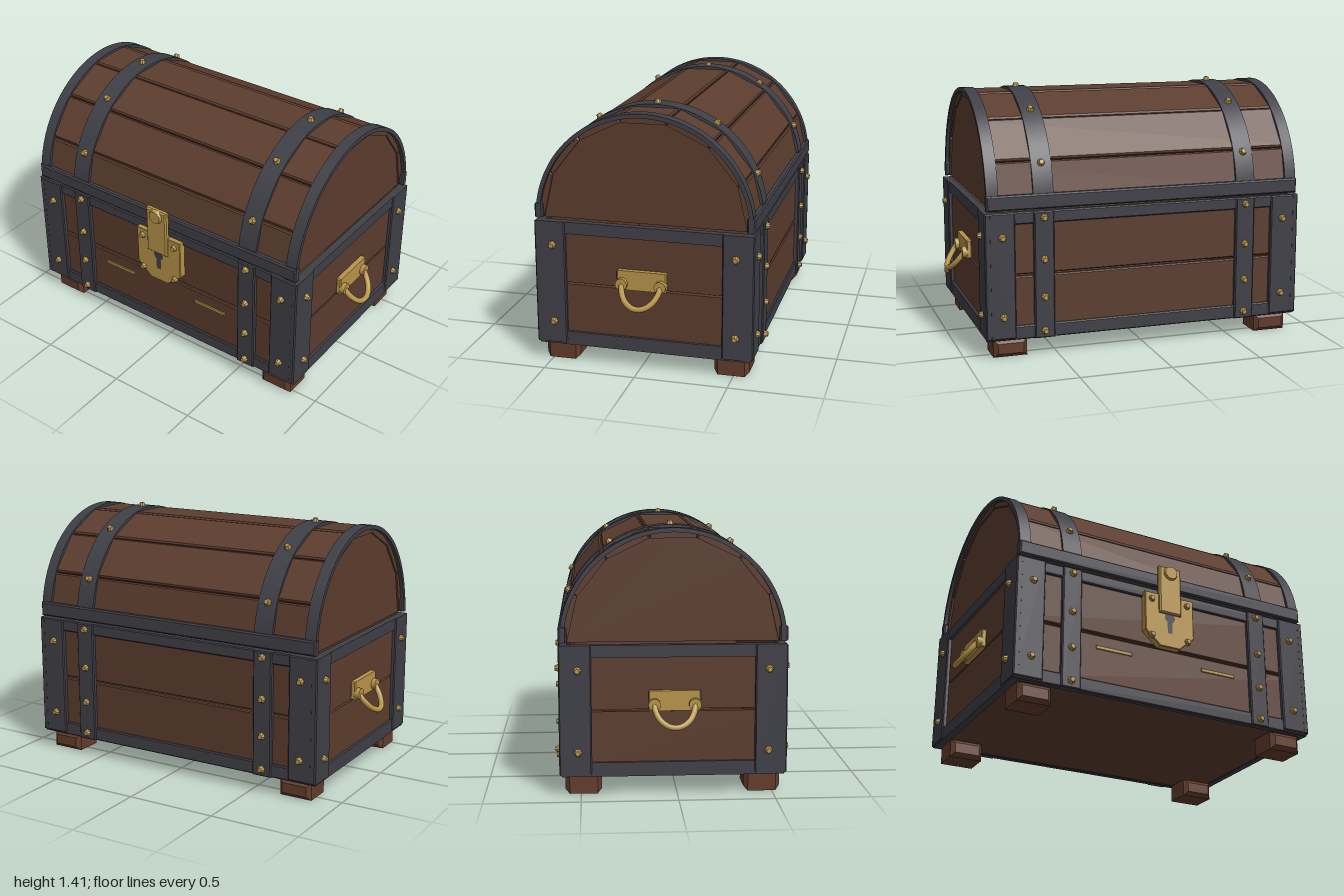
import * as THREE from 'three';
import { toCreasedNormals } from 'three/addons/utils/BufferGeometryUtils.js';

const mat = (name, color) => new THREE.MeshStandardMaterial({ name, color });

export function createModel() {
  const wood = mat('wood', 0x5c3d2e);
  const footWood = mat('footWood', 0x633c2b);
  const iron = mat('iron', 0x3f3f47);
  const brass = mat('brass', 0xb8954a);

  const model = new THREE.Group();
  model.name = 'treasureChest';
  const chest = new THREE.Group();
  chest.name = 'chest';
  chest.position.z = -0.02;
  model.add(chest);

  const add = (name, geo, material, x = 0, y = 0, z = 0) => {
    const mesh = new THREE.Mesh(geo, material);
    mesh.name = name;
    mesh.position.set(x, y, z);
    chest.add(mesh);
    return mesh;
  };

  // Flat plate cut from a shape, its back at z = 0 and its front at z = depth
  const plate = (shape, depth, b = 0.004) => {
    const geo = new THREE.ExtrudeGeometry(shape, {
      depth: depth - 2 * b, bevelEnabled: b > 0, bevelThickness: b, bevelSize: b,
      bevelOffset: -b, bevelSegments: 1, curveSegments: 16,
    });
    return geo.translate(0, 0, b);
  };
  const polygon = (pts) => new THREE.Shape(pts.map(([x, y]) => new THREE.Vector2(x, y)));
  // Centred box with chamfered edges
  const bar = (w, h, d, b = 0.006) => plate(polygon([
    [-w / 2, -h / 2], [w / 2, -h / 2], [w / 2, h / 2], [-w / 2, h / 2],
  ]), d, b).translate(0, 0, -d / 2);
  // Box given by its limits
  const span = (name, material, x0, x1, y0, y1, z0, z1, b) => add(name,
    bar(x1 - x0, y1 - y0, z1 - z0, b), material, (x0 + x1) / 2, (y0 + y1) / 2, (z0 + z1) / 2);

  const nailGeo = new THREE.CylinderGeometry(0.013, 0.022, 0.022, 8).translate(0, 0.009, 0).toNonIndexed();
  nailGeo.computeVertexNormals();
  const up = new THREE.Vector3(0, 1, 0);
  const nail = (x, y, z, nx, ny, nz) => add('nail', nailGeo, brass, x, y, z)
    .quaternion.setFromUnitVectors(up, new THREE.Vector3(nx, ny, nz));

  const signs = [-1, 1];

  // Floor
  span('floor', wood, -0.87, 0.87, 0.105, 0.14, -0.565, 0.565);

  // Two boards on each wall, with a slit between them
  for (const [y0, y1] of [[0.12, 0.441], [0.452, 0.77]]) {
    for (const s of signs) {
      add('wallBoard', bar(1.73, y1 - y0, 0.035), wood, 0, (y0 + y1) / 2, s * 0.55);
      add('endBoard', bar(0.035, y1 - y0, 1.12), wood, s * 0.855, (y0 + y1) / 2, 0);
    }
  }

  // Iron rails round the bottom and the top of the body
  for (const [y0, y1] of [[0.1, 0.175], [0.725, 0.79]]) {
    for (const s of signs) {
      add('longRail', bar(1.78, y1 - y0, 0.04), iron, 0, (y0 + y1) / 2, s * 0.562);
      add('endRail', bar(0.04, y1 - y0, 1.16), iron, s * 0.868, (y0 + y1) / 2, 0);
    }
  }

  for (const sx of signs) {
    for (const sz of signs) {
      // Corner straps, their nails and the foot below
      add('cornerStrap', bar(0.16, 0.68, 0.035), iron, sx * 0.812, 0.45, sz * 0.574);
      add('cornerStrap', bar(0.035, 0.68, 0.168), iron, sx * 0.877, 0.45, sz * 0.508);
      for (const y of [0.23, 0.66]) {
        nail(sx * 0.8, y, sz * 0.592, 0, 0, sz);
        nail(sx * 0.895, y, sz * 0.495, sx, 0, 0);
      }
      add('foot', bar(0.185, 0.1, 0.19, 0.022), footWood, sx * 0.757, 0.05, sz * 0.467);
      // Upright bands on the long walls
      add('bodyBand', bar(0.11, 0.69, 0.035), iron, sx * 0.575, 0.445, sz * 0.574);
      for (const y of [0.14, 0.325, 0.53, 0.755]) nail(sx * 0.575, y, sz * 0.592, 0, 0, sz);
    }
  }

  // Barrel lid: seven flat staves
  const lidY = 0.8;
  for (let i = -3; i <= 3; i++) {
    const a = i * Math.PI / 7, r = 0.551;
    add('lidStave', bar(1.72, 0.038, 0.25, 0.008), wood,
      0, lidY + r * Math.cos(a), r * Math.sin(a)).rotation.x = a;
  }

  // Lid end panels
  const half = new THREE.Shape().absarc(0, 0, 0.548, 0, Math.PI, false);
  half.closePath();
  const panelGeo = plate(half, 0.03, 0).translate(0, 0, -0.015).rotateY(Math.PI / 2);
  for (const s of signs) add('lidEndPanel', panelGeo, wood, s * 0.835, lidY + 0.001, 0);

  // Iron hoops over the lid
  const hoop = (width, inner, outer) => {
    const shape = new THREE.Shape().absarc(0, 0, outer, 0, Math.PI, false);
    shape.absarc(0, 0, inner, Math.PI, 0, true);
    const geo = new THREE.ExtrudeGeometry(shape, { depth: width, bevelEnabled: false, curveSegments: 28 });
    return toCreasedNormals(geo.translate(0, 0, -width / 2).rotateY(Math.PI / 2), 0.5);
  };
  for (const s of signs) {
    add('lidEndHoop', hoop(0.064, 0.563, 0.586), iron, s * 0.848, lidY + 0.001, 0);
    add('lidHoop', hoop(0.11, 0.56, 0.586), iron, s * 0.575, lidY + 0.001, 0);
    for (let i = -2; i <= 2; i++) {
      const a = i * 0.576, ny = Math.cos(a), nz = Math.sin(a);
      nail(s * 0.575, lidY + 0.586 * ny, 0.586 * nz, 0, ny, nz);
    }
    // Rail along the lower edge of the lid
    add('lidRail', bar(1.765, 0.08, 0.045, 0.008), iron, 0, 0.842, s * 0.57);
  }

  // Lock plate, keyhole and rivets
  add('lockPlate', plate(polygon([
    [-0.15, 0.52], [-0.06, 0.44], [0.06, 0.44], [0.15, 0.52], [0.15, 0.75], [-0.15, 0.75],
  ]), 0.045), brass, 0, 0, 0.565);
  const hole = new THREE.CircleGeometry(0.031, 20);
  add('keyhole', hole, iron, 0, 0.615, 0.612);
  add('keySlot', new THREE.PlaneGeometry(0.03, 0.085), iron, 0, 0.565, 0.612);
  for (const x of [-0.11, 0.11]) for (const y of [0.495, 0.71]) nail(x, y, 0.606, 0, 0, 1);

  // Hasp with its round stud
  span('hasp', brass, -0.068, 0.068, 0.635, 0.92, 0.592, 0.626, 0.008);
  const stud = new THREE.CylinderGeometry(0.036, 0.045, 0.02, 20).rotateX(Math.PI / 2);
  add('haspStud', toCreasedNormals(stud, 0.6), brass, 0, 0.882, 0.629);

  // Thin brass strips on the lower front board
  for (const s of signs) add('frontStrip', bar(0.21, 0.02, 0.009, 0.002), brass, s * 0.32, 0.368, 0.57);

  // Carrying handles on both ends
  for (const s of signs) {
    add('handlePlate', bar(0.03, 0.105, 0.27), brass, s * 0.885, 0.5, 0.005);
    const pts = [];
    for (let i = 0; i <= 12; i++) {
      const t = Math.PI * i / 12, drop = Math.sin(t);
      pts.push(new THREE.Vector3(s * (0.905 + 0.08 * drop), 0.485 - 0.108 * drop, 0.105 * Math.cos(t)));
    }
    const ring = new THREE.TubeGeometry(new THREE.CatmullRomCurve3(pts), 28, 0.016, 8);
    add('handleRing', ring, brass, 0, 0, 0.005);
    for (const z of [-0.1, 0.11]) {
      const boss = new THREE.CylinderGeometry(0.032, 0.032, 0.035, 16).rotateZ(Math.PI / 2);
      add('handleBoss', toCreasedNormals(boss, 0.6), brass, s * 0.905, 0.482, z);
    }
  }

  return model;
}
